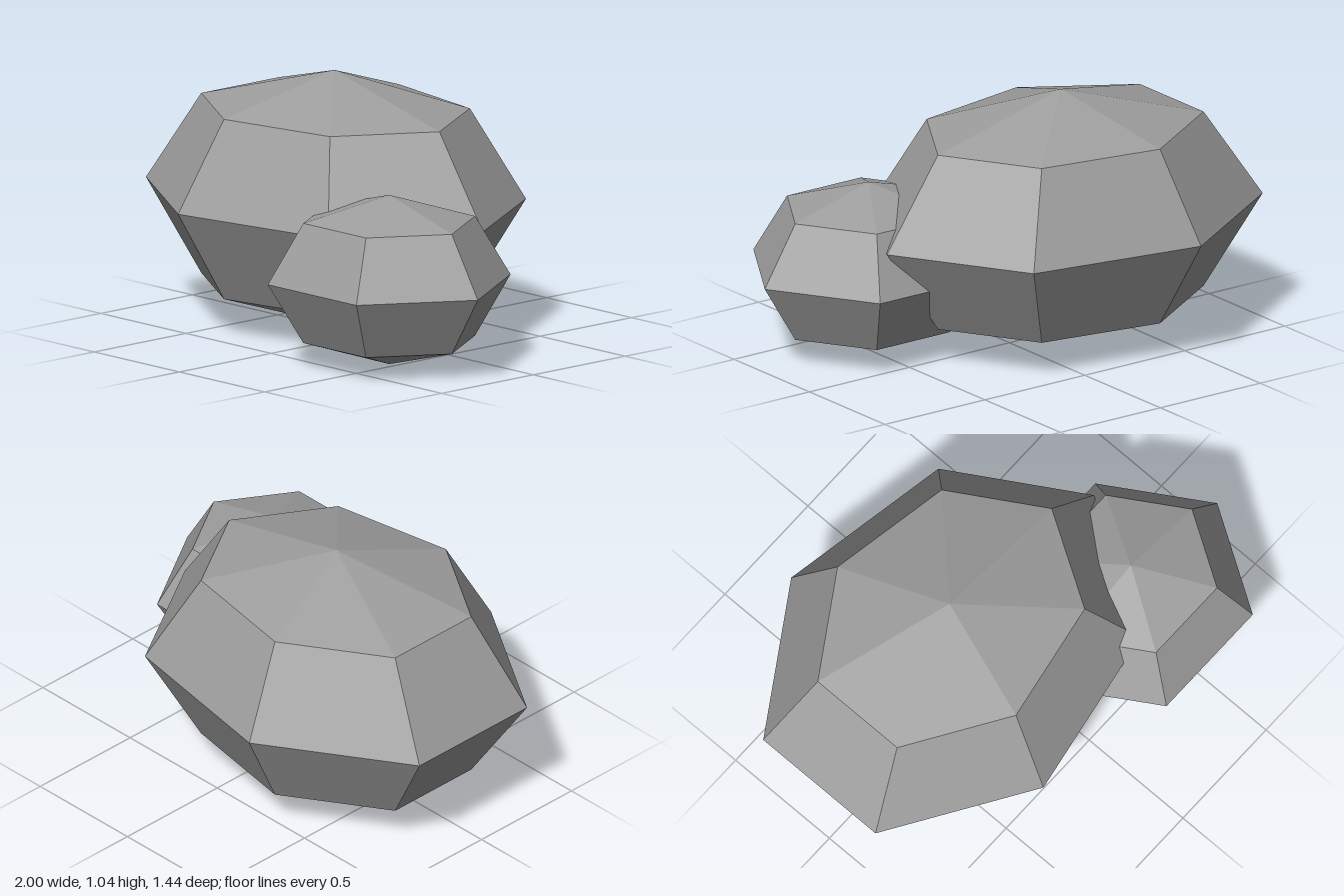
import * as THREE from 'three';

// Faceted boulder: a squashed low-poly sphere with one corner facing +x
function boulder(name, sides, size, position, material) {
  const sphere = new THREE.SphereGeometry(1, sides, 4, Math.PI);
  sphere.scale(...size);
  const geometry = sphere.toNonIndexed();
  geometry.computeVertexNormals(); // flat facets
  const mesh = new THREE.Mesh(geometry, material);
  mesh.name = name;
  mesh.position.set(...position);
  return mesh;
}

export function createModel() {
  const group = new THREE.Group();
  group.name = 'rocks';
  const stone = new THREE.MeshStandardMaterial({ color: 0x9e9e9e });
  stone.name = 'stone grey';

  // Large seven-sided rock with a smaller six-sided one sunk into its side
  group.add(
    boulder('largeRock', 7, [0.87, 0.52, 0.69], [-0.22, 0.52, -0.05], stone),
    boulder('smallRock', 6, [0.52, 0.346, 0.485], [0.477, 0.35, 0.3], stone)
  );
  return group;
}
